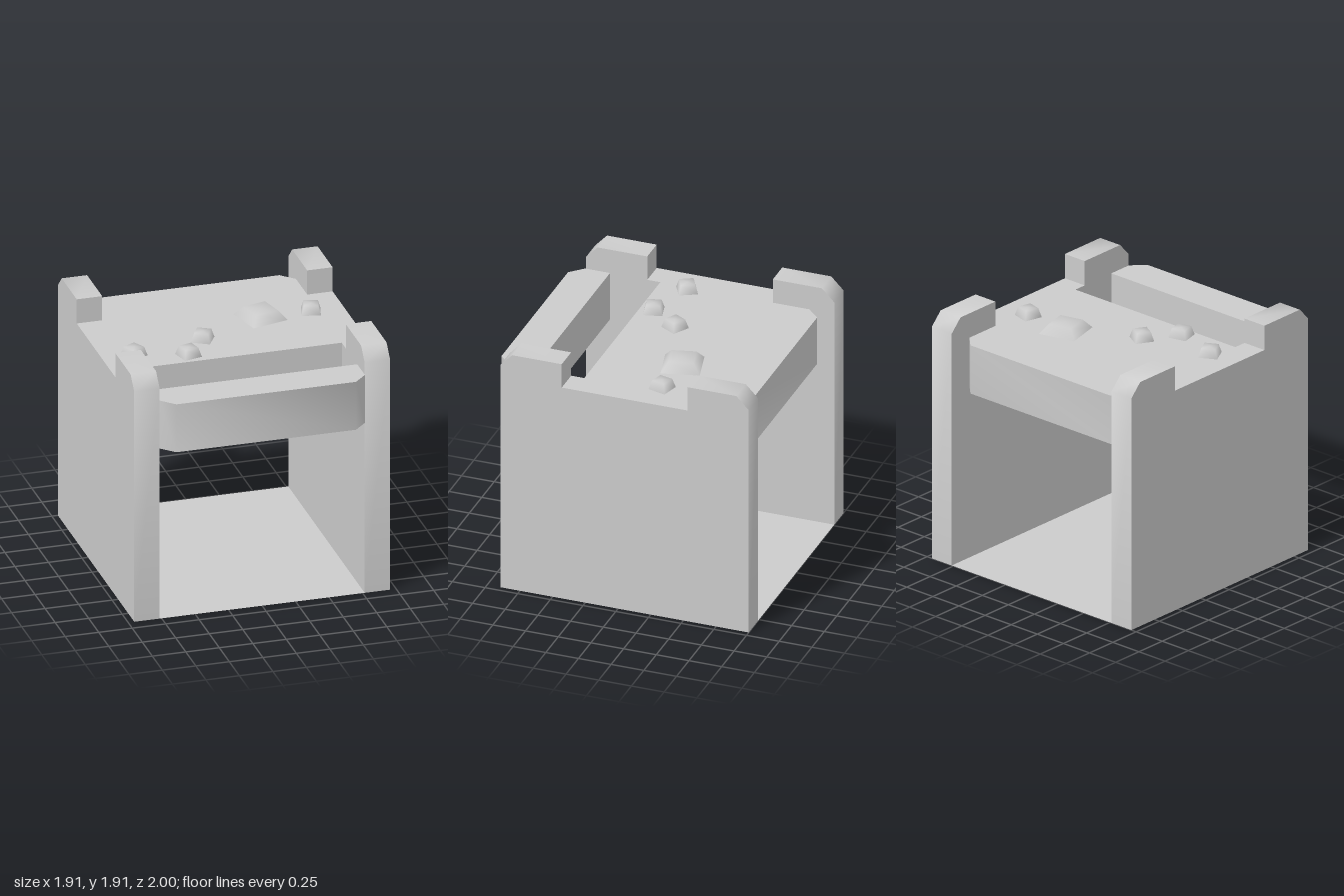
import * as THREE from 'three';
import { toCreasedNormals } from 'three/addons/utils/BufferGeometryUtils.js';

const material = new THREE.MeshStandardMaterial({ color: 0xcccccc, side: THREE.DoubleSide });

const INNER = 0.765, OUTER = 0.955; // inner and outer x of the side panels
const DECK = 1.717, UNDER = 1.34;   // top and underside of the deck

function add(parent, name, geometry, x = 0, y = 0, z = 0) {
  const mesh = new THREE.Mesh(geometry, material);
  mesh.name = name;
  mesh.position.set(x, y, z);
  parent.add(mesh);
  return mesh;
}

// Straight extrusion; 45 degree chamfers are shaded softly, square edges stay sharp
function extrude(points, depth) {
  const shape = new THREE.Shape(points.map(([a, b]) => new THREE.Vector2(a, b)));
  return new THREE.ExtrudeGeometry(shape, { depth, bevelEnabled: false });
}
const soften = (geometry) => toCreasedNormals(geometry, Math.PI / 3);

// Removes the faces lying on the ground
function openBottom(geometry) {
  const p = geometry.attributes.position;
  const kept = [];
  for (let i = 0; i < p.count; i += 3) {
    if (Math.max(p.getY(i), p.getY(i + 1), p.getY(i + 2)) < 1e-4) continue;
    for (let j = i; j < i + 3; j++) kept.push(p.getX(j), p.getY(j), p.getZ(j));
  }
  const open = new THREE.BufferGeometry();
  open.setAttribute('position', new THREE.Float32BufferAttribute(kept, 3));
  return open;
}

// Block seen from above, with two corners cut off on its "outer" z edge
function chamferedSlab(inner, outer) {
  const shoulder = outer - Math.sign(outer) * 0.095;
  const geometry = extrude([
    [-INNER, inner], [INNER, inner], [INNER, shoulder],
    [0.67, outer], [-0.67, outer], [-INNER, shoulder],
  ], DECK - UNDER);
  return soften(geometry.rotateX(Math.PI / 2));
}

export function createModel() {
  const model = new THREE.Group();
  model.name = 'cabinet';

  // Side panels: notched top with chamfered outer corners, hollow from below
  const profile = [
    [-1, 0], [0.9, 0], [0.9, 1.81], [0.81, 1.907], [0.43, 1.907], [0.43, DECK],
    [-0.53, DECK], [-0.53, 1.907], [-0.905, 1.907], [-1, 1.81],
  ];
  const panel = soften(openBottom(extrude(profile, OUTER - INNER).rotateY(-Math.PI / 2)));
  add(model, 'leftPanel', panel, OUTER);
  add(model, 'rightPanel', panel, -INNER);

  // Thin floor between the panels
  const floor = new THREE.PlaneGeometry(2 * INNER, 1.9).rotateX(-Math.PI / 2);
  add(model, 'floor', floor, 0, 0, -0.05);

  // Deck and front bar with an open slot between them
  add(model, 'deck', chamferedSlab(0.33, -0.905), 0, DECK);
  add(model, 'frontBar', chamferedSlab(0.715, 1), 0, DECK);

  // Square tapered knobs: x, z, base radius, top radius, turn in degrees
  const knobs = new THREE.Group();
  knobs.name = 'knobs';
  model.add(knobs);
  for (const [x, z, base, top, turn] of [
    [0.335, -0.257, 0.2, 0.128, 14],
    [0.706, -0.243, 0.099, 0.073, -15],
    [-0.172, -0.008, 0.099, 0.073, -30],
    [-0.346, 0.222, 0.099, 0.073, 14],
    [-0.72, 0.108, 0.099, 0.073, 28],
  ]) {
    const outline = [[base, 0], [top, 0.068], [0, 0.068]].map(([r, y]) => new THREE.Vector2(r, y));
    const knob = add(knobs, 'knob', new THREE.LatheGeometry(outline, 4), x, DECK, z);
    knob.rotation.y = THREE.MathUtils.degToRad(turn + 45);
  }

  return model;
}
